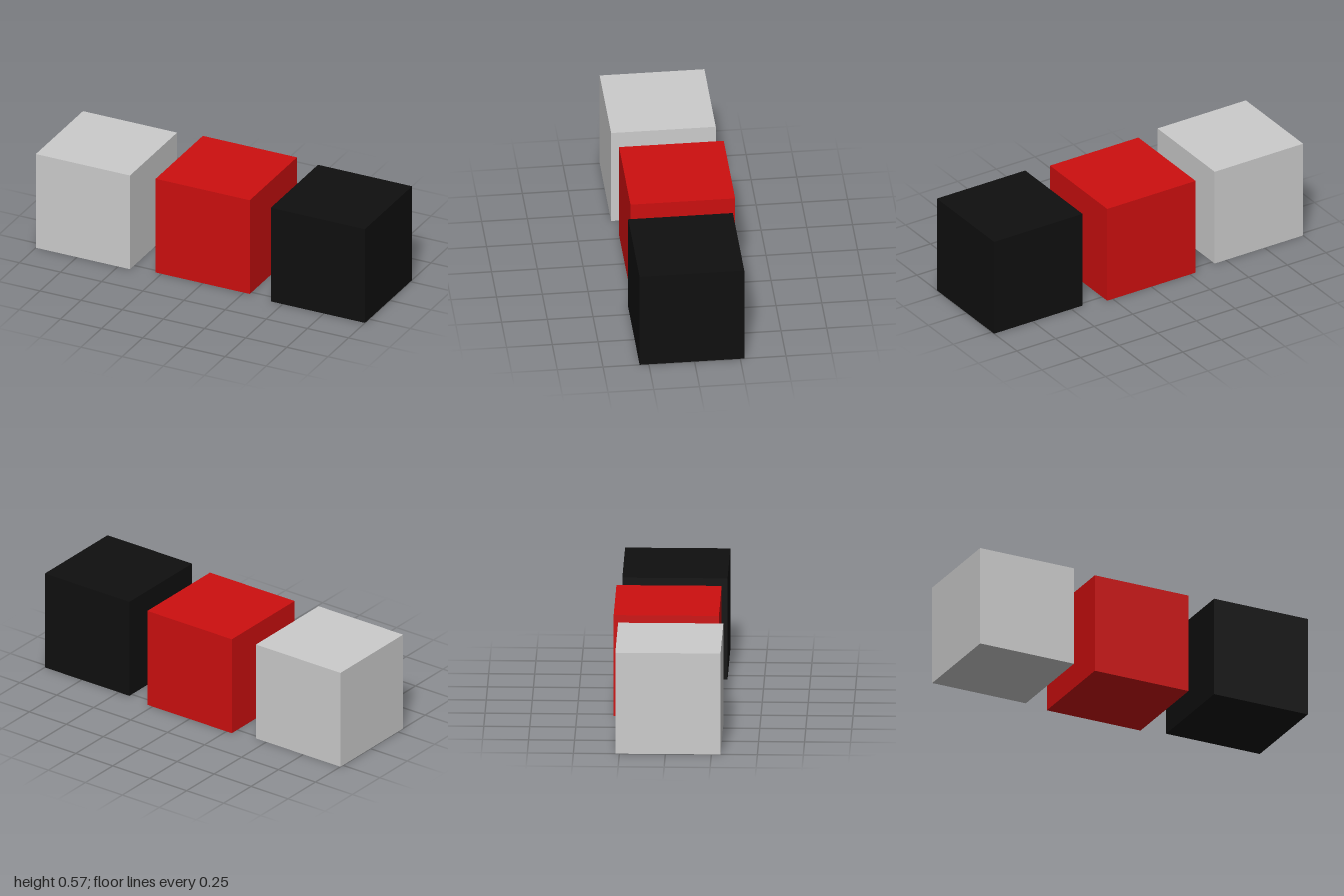
import * as THREE from 'three';

const SIZE = 0.572;

// One cube standing on the ground
function makeCube(name, color, x, z) {
  const cube = new THREE.Mesh(
    new THREE.BoxGeometry(SIZE, SIZE, SIZE),
    new THREE.MeshStandardMaterial({ color })
  );
  cube.name = name;
  cube.position.set(x, SIZE / 2, z);
  return cube;
}

export function createModel() {
  const model = new THREE.Group();
  model.name = 'cubeRow';

  // Row of three cubes, the middle one set slightly back
  model.add(
    makeCube('greyCube', 0xcccccc, -0.714, 0.014),
    makeCube('redCube', 0xcc0f0f, 0, -0.014),
    makeCube('blackCube', 0x0f0f0f, 0.714, 0.014)
  );
  return model;
}
